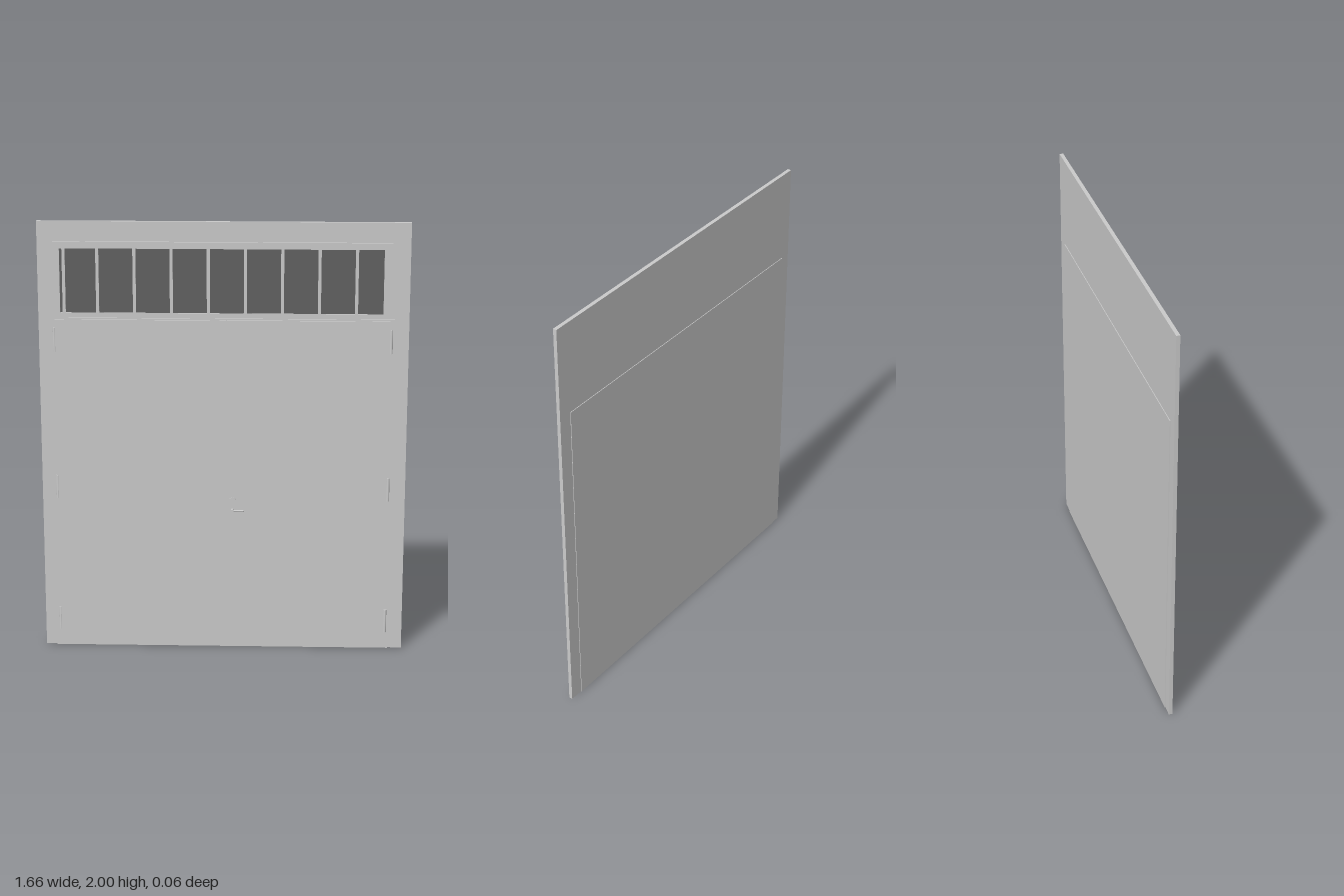
import * as THREE from 'three';

const grey = new THREE.MeshStandardMaterial({ color: 0xcccccc });
const dark = new THREE.MeshStandardMaterial({ color: 0x626262 });

export function createModel() {
  const model = new THREE.Group();

  const add = (name, geometry, material = grey) => {
    const mesh = new THREE.Mesh(geometry, material);
    mesh.name = name;
    model.add(mesh);
    return mesh;
  };
  // Box given by its limits on each axis
  const box = (name, x0, x1, y0, y1, z0, z1, material) => {
    const mesh = add(name, new THREE.BoxGeometry(x1 - x0, y1 - y0, z1 - z0), material);
    mesh.position.set((x0 + x1) / 2, (y0 + y1) / 2, (z0 + z1) / 2);
    return mesh;
  };
  const rectangle = (path, x0, x1, y0, y1) =>
    path.moveTo(x0, y0).lineTo(x1, y0).lineTo(x1, y1).lineTo(x0, y1).closePath();

  // Wall panel and the casing that stands proud of it on both faces
  box('wallPanel', -0.83, 0.83, 0, 2, -0.026, -0.009);
  box('doorCasing', -0.78, 0.765, 0, 1.565, -0.029, -0.002);

  // Two door leaves with a narrow gap, and the strip covering it
  box('leftLeaf', -0.002, 0.745, 0.008, 1.558, -0.01, 0.006);
  box('rightLeaf', -0.757, -0.004, 0.008, 1.558, -0.01, 0.006);
  box('coverStrip', -0.018, 0.012, 0.025, 1.558, 0, 0.008);

  // Transom frame around the window
  const frame = new THREE.Shape();
  rectangle(frame, -0.76, 0.75, 1.57, 1.91);
  const opening = new THREE.Path();
  rectangle(opening, -0.73, 0.713, 1.59, 1.88);
  frame.holes.push(opening);
  const frameGeometry = new THREE.ExtrudeGeometry(frame, { depth: 0.015, bevelEnabled: false });
  frameGeometry.translate(0, 0, -0.012);
  add('transomFrame', frameGeometry);

  // Dark glass with upright bars
  box('transomGlass', -0.735, 0.718, 1.585, 1.885, -0.01, -0.003, dark);
  const bars = [-0.712];
  for (let i = 0; i < 8; i++) bars.push(-0.562 + 0.165 * i);
  for (const x of bars) box('glazingBar', x - 0.007, x + 0.007, 1.59, 1.88, -0.008, 0.001);

  // Three hinges on each side
  for (const x of [-0.759, 0.751]) {
    for (const y of [0.135, 0.775, 1.465]) {
      const hinge = add('hinge', new THREE.CylinderGeometry(0.007, 0.007, 0.11, 16));
      hinge.position.set(x, y, 0);
    }
  }

  // Handle plate with rounded ends
  const plate = new THREE.Shape();
  plate.absarc(0, 0.056, 0.016, 0, Math.PI);
  plate.absarc(0, -0.056, 0.016, Math.PI, Math.PI * 2);
  const plateGeometry = new THREE.ExtrudeGeometry(plate, { depth: 0.006, bevelEnabled: false });
  plateGeometry.translate(0.042, 0.66, 0.004);
  add('handlePlate', plateGeometry);

  // Lever: a spindle coming forward and a grip pointing to the side
  const spindle = add('handleSpindle', new THREE.CylinderGeometry(0.007, 0.007, 0.022, 16));
  spindle.rotation.x = Math.PI / 2;
  spindle.position.set(0.042, 0.673, 0.018);
  const grip = add('handleGrip', new THREE.CapsuleGeometry(0.005, 0.05, 4, 12));
  grip.rotation.z = Math.PI / 2;
  grip.position.set(0.066, 0.673, 0.024);

  return model;
}
